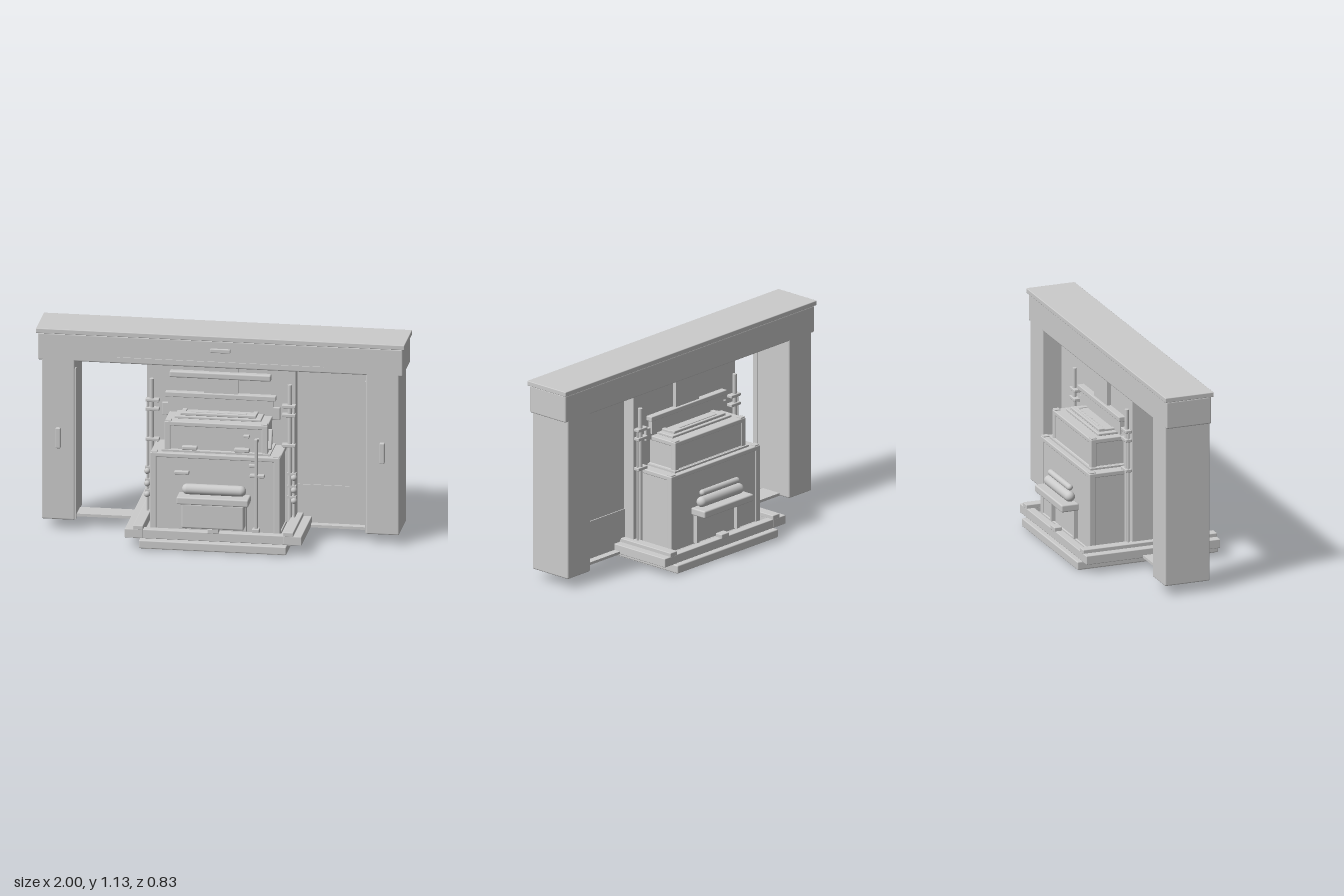
import * as THREE from 'three';
import { RoundedBoxGeometry } from 'three/addons/geometries/RoundedBoxGeometry.js';

const mat = new THREE.MeshStandardMaterial({ color: 0xcccccc });
const BOTH = [-1, 1];

export function createModel() {
  const root = new THREE.Group();
  const add = (name, geo, x, y, z) => {
    const m = new THREE.Mesh(geo, mat);
    m.name = name;
    m.position.set(x, y, z);
    root.add(m);
    return m;
  };
  // Box given by its extents along each axis; r > 0 softens the edges
  const box = (name, x0, x1, y0, y1, z0, z1, r = 0) => {
    const s = [x1 - x0, y1 - y0, z1 - z0];
    const geo = r ? new RoundedBoxGeometry(...s, 2, r) : new THREE.BoxGeometry(...s);
    return add(name, geo, (x0 + x1) / 2, (y0 + y1) / 2, (z0 + z1) / 2);
  };
  // Box centred on x = 0 and z = 0
  const slab = (name, hx, y0, y1, hz, r = 0) => box(name, -hx, hx, y0, y1, -hz, hz, r);
  // The same box at +z or -z
  const zBox = (name, s, x0, x1, y0, y1, z0, z1, r = 0) =>
    box(name, x0, x1, y0, y1, Math.min(s * z0, s * z1), Math.max(s * z0, s * z1), r);
  const xBox = (name, s, x0, x1, y0, y1, z0, z1, r = 0) =>
    box(name, Math.min(s * x0, s * x1), Math.max(s * x0, s * x1), y0, y1, z0, z1, r);
  const pipe = (name, r, x, y0, y1, z) =>
    add(name, new THREE.CylinderGeometry(r, r, y1 - y0, 16), x, (y0 + y1) / 2, z);

  // Portal: cap, lintel, two posts
  slab('cap', 1, 1.103, 1.13, 0.14, 0.004);
  slab('lintel', 0.99, 0.95, 1.103, 0.13, 0.008);
  box('lintelHandle', -0.055, 0.055, 1.038, 1.06, 0.12, 0.141, 0.004);
  box('lintelStrip', -0.56, 0.56, 0.978, 0.986, 0.12, 0.136);
  for (const s of BOTH) {
    xBox('post', s, 0.79, 0.97, 0.055, 1.0, -0.13, 0.13, 0.008);
    xBox('postLip', s, 0.784, 0.8, 0.06, 0.91, 0.1, 0.126);
    xBox('postHandle', s, 0.865, 0.893, 0.46, 0.575, 0.12, 0.147, 0.006);
    xBox('sill', s, 0.39, 0.8, 0.055, 0.07, -0.06, 0.06);
  }

  // Side door panel, on one side only
  box('doorPanel', 0.39, 0.795, 0.07, 0.92, -0.02, 0.02);
  box('doorKickPlate', 0.4, 0.685, 0.12, 0.285, -0.026, 0.026);

  // Central wall with duct and shelves
  slab('wall', 0.403, 0.09, 0.952, 0.09);
  slab('duct', 0.092, 0.79, 0.955, 0.112);
  slab('upperShelf', 0.3, 0.775, 0.802, 0.126, 0.004);
  slab('shelfPanel', 0.285, 0.7, 0.78, 0.115);
  slab('lowerShelf', 0.32, 0.665, 0.735, 0.105, 0.004);
  box('lightBar', -0.275, 0.275, 0.89, 0.925, 0.1, 0.142, 0.008);

  // Stepped platform
  slab('basePlate', 0.4, 0.004, 0.05, 0.407, 0.006);
  slab('baseFoot', 0.39, 0, 0.01, 0.395);
  slab('platform', 0.42, 0.045, 0.08, 0.36);
  for (const s of BOTH) {
    xBox('sideRail', s, 0.38, 0.48, 0.055, 0.105, -0.387, 0.387, 0.004);
    xBox('sideRailLedge', s, 0.38, 0.435, 0.1, 0.126, -0.387, 0.387, 0.004);
    zBox('endRail', s, -0.43, 0.43, 0.055, 0.105, 0.34, 0.385, 0.004);
    zBox('railLatch', s, -0.03, 0.03, 0.1, 0.126, 0.345, 0.39, 0.004);
  }

  // A cabinet with recessed panels, corner posts and rims
  const cabinet = (name, hx, hz, y0, y1, w, inset) => {
    slab(name + 'Body', hx - inset, y0, y1 - 0.004, hz - inset);
    slab(name + 'TopRim', hx, y1 - 0.025, y1, hz, 0.005);
    slab(name + 'BottomRim', hx, y0, y0 + 0.018, hz, 0.005);
    for (const sx of BOTH) for (const sz of BOTH) {
      const px = sx * (hx - w / 2), pz = sz * (hz - w / 2);
      add(name + 'CornerPost', new RoundedBoxGeometry(w, y1 - y0, w, 2, 0.005), px, (y0 + y1) / 2, pz);
      // small corner cap
      add(name + 'CornerCap', new RoundedBoxGeometry(w, 0.008, w, 1, 0.002), px * 0.99, y1 + 0.002, pz * 0.99);
    }
  };
  cabinet('lowerCabinet', 0.353, 0.318, 0.075, 0.52, 0.035, 0.007);
  cabinet('upperCabinet', 0.28, 0.28, 0.515, 0.687, 0.033, 0.006);
  slab('neckRim', 0.295, 0.518, 0.53, 0.29);

  // Stepped lid
  slab('lidBase', 0.235, 0.685, 0.7, 0.22, 0.004);
  slab('lidTop', 0.205, 0.695, 0.706, 0.2, 0.003);
  for (const s of BOTH) {
    zBox('lidRim', s, -0.205, 0.205, 0.7, 0.716, 0.17, 0.205, 0.004);
    xBox('lidSideRim', s, 0.18, 0.205, 0.7, 0.712, -0.2, 0.2, 0.004);
    zBox('lidSlot', s, -0.15, 0.15, 0.7, 0.72, 0.18, 0.19, 0.003);
  }

  // Benches at both ends, with cushions
  for (const s of BOTH) {
    zBox('benchTop', s, -0.195, 0.195, 0.265, 0.306, 0.315, 0.416, 0.008);
    const roll = (r, len, y, z) => {
      const m = add('cushion', new THREE.CapsuleGeometry(r, len, 8, 20), 0, y, s * z);
      m.rotation.z = Math.PI / 2;
    };
    roll(0.029, 0.29, 0.335, 0.35);
    if (s < 0) {
      roll(0.017, 0.27, 0.383, 0.345);
      for (const x of BOTH) xBox('benchLeg', x, 0.15, 0.17, 0.1, 0.27, -0.335, -0.312);
    }
  }
  box('benchBox', -0.17, 0.17, 0.13, 0.27, 0.335, 0.41, 0.01);
  for (const s of BOTH) xBox('benchLeg', s, 0.155, 0.172, 0.1, 0.27, 0.312, 0.345);

  // Pipes with clamps and knobs in the four wall corners
  for (const sx of BOTH) for (const sz of BOTH) {
    const x = sx * 0.375, z = sz * 0.112;
    pipe('wallPipe', 0.012, x, 0.1, 0.87, z);
    pipe('thinPipe', 0.006, sx * 0.398, 0.1, 0.74, z);
    for (const y of [0.53, 0.7, 0.75])
      add('pipeClamp', new RoundedBoxGeometry(0.075, 0.018, 0.035, 2, 0.004), sx * 0.37, y, z);
    if (sz > 0) for (const y of [0.22, 0.28, 0.35]) {
      add('valveKnob', new THREE.SphereGeometry(0.017, 16, 10), sx * 0.398, y, z + 0.008);
      add('valveCollar', new THREE.BoxGeometry(0.05, 0.012, 0.025), sx * 0.385, y + 0.02, z);
    }
  }

  // Front handles and small fittings
  for (const s of BOTH) xBox('upperHandle', s, 0.1, 0.183, 0.535, 0.557, 0.27, 0.3, 0.006);
  box('smallLatch', 0.15, 0.183, 0.617, 0.632, 0.27, 0.296, 0.004);
  box('lowerHandle', -0.22, -0.14, 0.407, 0.425, 0.305, 0.335, 0.005);
  box('lowerHandle', 0.19, 0.27, 0.407, 0.425, 0.305, 0.335, 0.005);
  box('catch', 0.185, 0.22, 0.465, 0.48, 0.305, 0.33, 0.004);

  // Upright rod with its stay
  box('rod', 0.217, 0.234, 0.11, 0.628, 0.324, 0.346, 0.004);
  box('rodStay', 0.218, 0.233, 0.6, 0.614, 0.27, 0.33);
  box('rodFoot', 0.205, 0.245, 0.1, 0.125, 0.315, 0.355, 0.004);

  // Slanted lever on the side of the upper cabinet
  const lever = box('lever', 0.27, 0.3, 0.545, 0.655, 0.23, 0.256, 0.006);
  lever.rotation.x = -0.42;

  return root;
}
